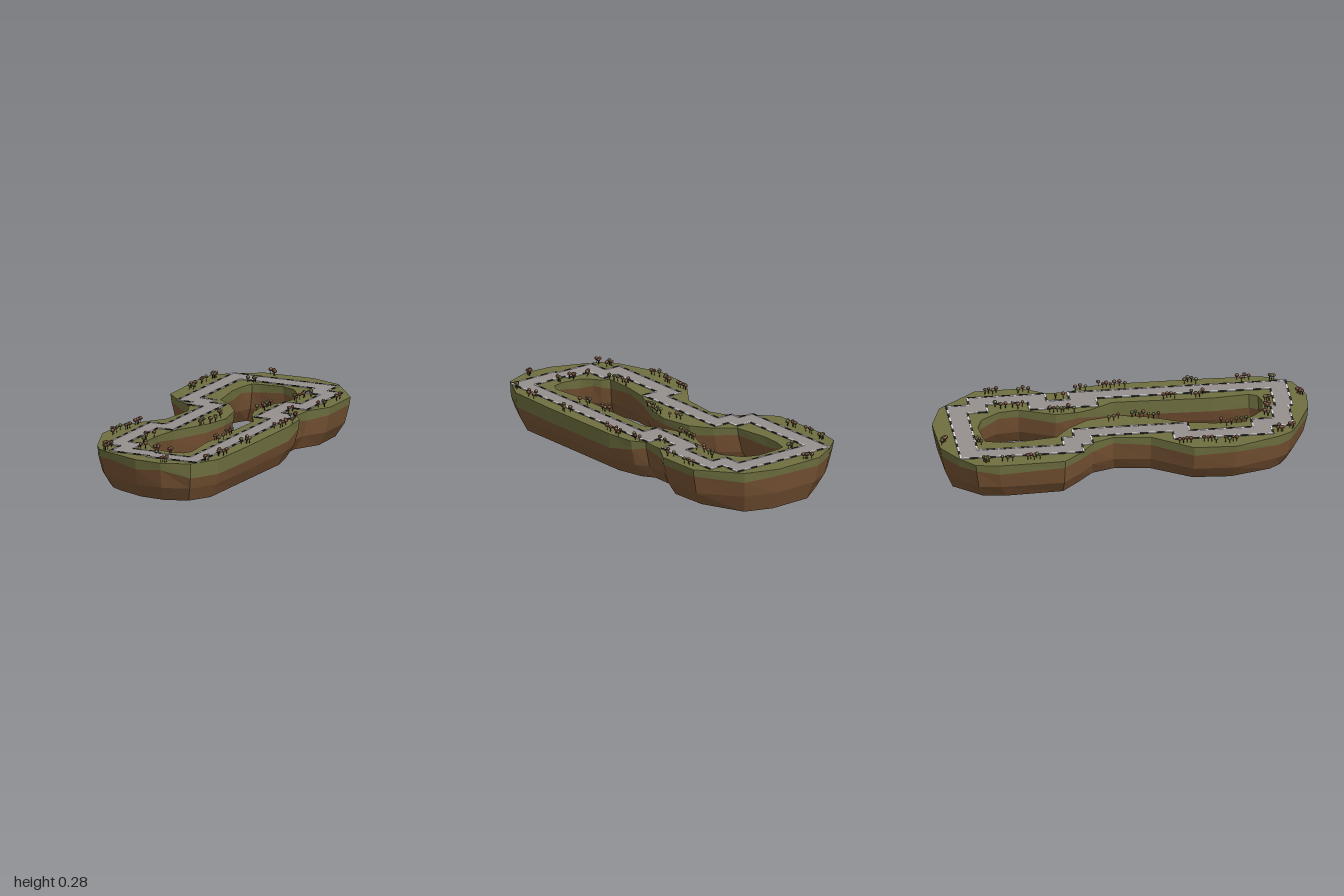
import * as THREE from 'three';
import { mergeGeometries } from 'three/addons/utils/BufferGeometryUtils.js';

const mat = (name, color, extra = {}) => {
  const m = new THREE.MeshStandardMaterial({ color, flatShading: true, ...extra });
  m.name = name;
  return m;
};

const TOP = 0.24;

// Stations around the ring of land: outer x, z and inner x, z
const STATIONS = [
  [-.20, -.99, -.11, -.755], [.08, -1, .02, -.765], [.26, -.94, .10, -.735],
  [.435, -.73, .175, -.635], [.44, -.48, .19, -.53], [.37, -.365, .115, -.34],
  [.365, -.24, .125, -.22], [.415, -.18, .15, -.15], [.435, -.02, .22, -.03],
  [.435, .5, .205, .5], [.425, .78, .225, .69], [.34, .935, .20, .735],
  [.19, .99, .14, .75], [.04, .98, .03, .735], [-.15, .905, -.02, .69],
  [-.235, .86, -.045, .655], [-.28, .79, -.09, .63], [-.37, .555, -.085, .47],
  [-.36, .33, -.06, .33], [-.21, .12, .03, .13], [-.19, -.08, .065, -.015],
  [-.235, -.185, .03, -.185], [-.34, -.26, -.045, -.29], [-.435, -.36, -.145, -.37],
  [-.445, -.71, -.175, -.565], [-.425, -.83, -.17, -.67], [-.335, -.91, -.15, -.745],
];

// Road edges as x, z corners
const ROAD_OUTER = [
  [-.34, -.9], [.275, -.9], [.275, -.78], [.36, -.78], [.36, -.37], [.275, -.37], [.275, -.25],
  [.36, -.25], [.36, .9], [.07, .9], [.07, .88], [-.16, .88], [-.16, .76], [-.25, .76],
  [-.25, .24], [-.16, .24], [-.16, -.19], [-.25, -.19], [-.25, -.25], [-.34, -.25],
];
const ROAD_INNER = [
  [-.25, -.8], [.185, -.8], [.185, -.69], [.275, -.69], [.275, -.47], [.185, -.47], [.185, -.11],
  [.275, -.11], [.275, .81], [.07, .81], [.07, .785], [-.07, .785], [-.07, .665], [-.16, .665],
  [-.16, .33], [-.07, .33], [-.07, -.28], [-.16, -.28], [-.16, -.345], [-.25, -.345],
];

// Tree clusters: x, z, number of trees
const CLUSTERS = [
  [-.14, -.965, 5], [-.39, -.77, 5], [-.385, -.66, 3], [-.385, -.52, 5], [-.17, -.785, 4],
  [.39, -.65, 4], [.40, -.48, 3], [.23, -.62, 3], [.215, -.53, 3], [.145, -.34, 4],
  [.15, -.27, 3], [.32, -.30, 2], [.39, -.18, 3], [.405, -.05, 4], [.39, .03, 3],
  [.03, .08, 4], [0, .16, 3], [.015, -.05, 3], [-.305, .29, 4], [-.30, .42, 4],
  [-.325, .53, 4], [-.11, .53, 3], [-.105, .61, 3], [.245, .27, 4], [.245, .42, 4],
  [.395, .40, 4], [.395, .68, 4], [.385, .83, 3], [-.21, .80, 4], [-.20, .865, 3],
  [.055, .765, 3], [.14, .775, 3], [-.03, .75, 2], [.19, .955, 5],
];

// Cross-section of the land at one station, from the outer rim under to the inner rim
function section([ox, oz, ix, iz], i) {
  const grassEdge = ox > 0.3 && oz > -0.1 ? 0.16 : 0.195 + 0.01 * Math.sin(i * 2.3);
  const floor = i < 3 ? 0 : 0.025;
  const half = [[0, TOP], [0.02, grassEdge], [0.11, 0.1], [0.29, floor]];
  const profile = [...half, ...half.map(([t, y]) => [1 - t, y]).reverse()];
  return profile.map(([t, y]) => [ox + (ix - ox) * t, y, oz + (iz - oz) * t]);
}

// Surface strips running around the ring between neighbouring section points
function ringGeometry(rings, strips) {
  const pos = [];
  rings.forEach((a, i) => {
    const b = rings[(i + 1) % rings.length];
    for (const k of strips) {
      const n = (k + 1) % a.length;
      pos.push(...a[k], ...b[k], ...a[n], ...b[k], ...b[n], ...a[n]);
    }
  });
  const g = new THREE.BufferGeometry();
  g.setAttribute('position', new THREE.Float32BufferAttribute(pos, 3));
  g.computeVertexNormals();
  return g;
}

function roadGeometry() {
  const flip = pts => pts.map(([x, z]) => new THREE.Vector2(x, -z));
  const shape = new THREE.Shape(flip(ROAD_OUTER));
  shape.holes.push(new THREE.Path(flip(ROAD_INNER)));
  return new THREE.ExtrudeGeometry(shape, { depth: 0.003, bevelEnabled: false })
    .rotateX(-Math.PI / 2).translate(0, TOP, 0);
}

// Alternating kerb blocks along a closed outline
function addKerbs(outline, lists) {
  let count = 0;
  outline.forEach(([x0, z0], i) => {
    const [x1, z1] = outline[(i + 1) % outline.length];
    const dx = x1 - x0, dz = z1 - z0;
    const n = Math.max(1, Math.round(Math.hypot(dx, dz) / 0.045));
    for (let j = 0; j < n; j++) {
      const t = (j + 0.5) / n;
      lists[count++ % 2].push(new THREE.BoxGeometry(Math.abs(dx) / n || 0.01, 0.005, Math.abs(dz) / n || 0.01)
        .translate(x0 + dx * t, TOP + 0.0025, z0 + dz * t));
    }
  });
}

export function createModel() {
  const group = new THREE.Group();
  const add = (name, geometry, material) => {
    const mesh = new THREE.Mesh(geometry, material);
    mesh.name = name;
    group.add(mesh);
  };
  let seed = 7;
  const rand = () => (seed = (seed * 16807) % 2147483647) / 2147483647;

  // Land: grass on top and round the rim, earth below
  const rings = STATIONS.map(section);
  add('grass', ringGeometry(rings, [0, 6, 7]), mat('grass green', 0x6f7040));
  add('earth', ringGeometry(rings, [1, 2, 3, 4, 5]), mat('earth brown', 0x7a5535));

  // Road with kerbs on both edges
  add('road', roadGeometry(), mat('road grey', 0x96908e));
  const kerbs = [[], []];
  addKerbs(ROAD_OUTER, kerbs);
  addKerbs(ROAD_INNER, kerbs);
  add('lightKerbs', mergeGeometries(kerbs[0]), mat('kerb white', 0xdcdad8));
  add('darkKerbs', mergeGeometries(kerbs[1]), mat('kerb black', 0x2c2a2a));

  // Trees in small clusters
  const trunks = [], crowns = [[], []];
  for (const [cx, cz, n] of CLUSTERS) {
    for (let i = 0; i < n; i++) {
      const x = cx + (rand() - 0.5) * 0.04;
      const z = cz + ((i + 0.5) / n - 0.5) * 0.08 * (Math.abs(cz) > 0.74 ? 0.4 : 1);
      const r = 0.009 + rand() * 0.003, y = 0.264 + rand() * 0.004;
      trunks.push(new THREE.CylinderGeometry(0.0015, 0.002, y - TOP, 5).translate(x, (y + TOP) / 2, z));
      crowns[rand() < 0.7 ? 0 : 1].push(new THREE.IcosahedronGeometry(r, 1)
        .scale(1, 0.9, 1).rotateY(rand() * 6).translate(x, y, z));
    }
  }
  add('treeTrunks', mergeGeometries(trunks), mat('bark brown', 0x35251a));
  add('autumnCrowns', mergeGeometries(crowns[0]), mat('autumn leaf brown', 0x6b4630));
  add('greenCrowns', mergeGeometries(crowns[1]), mat('leaf green', 0x58602f));

  return group;
}
